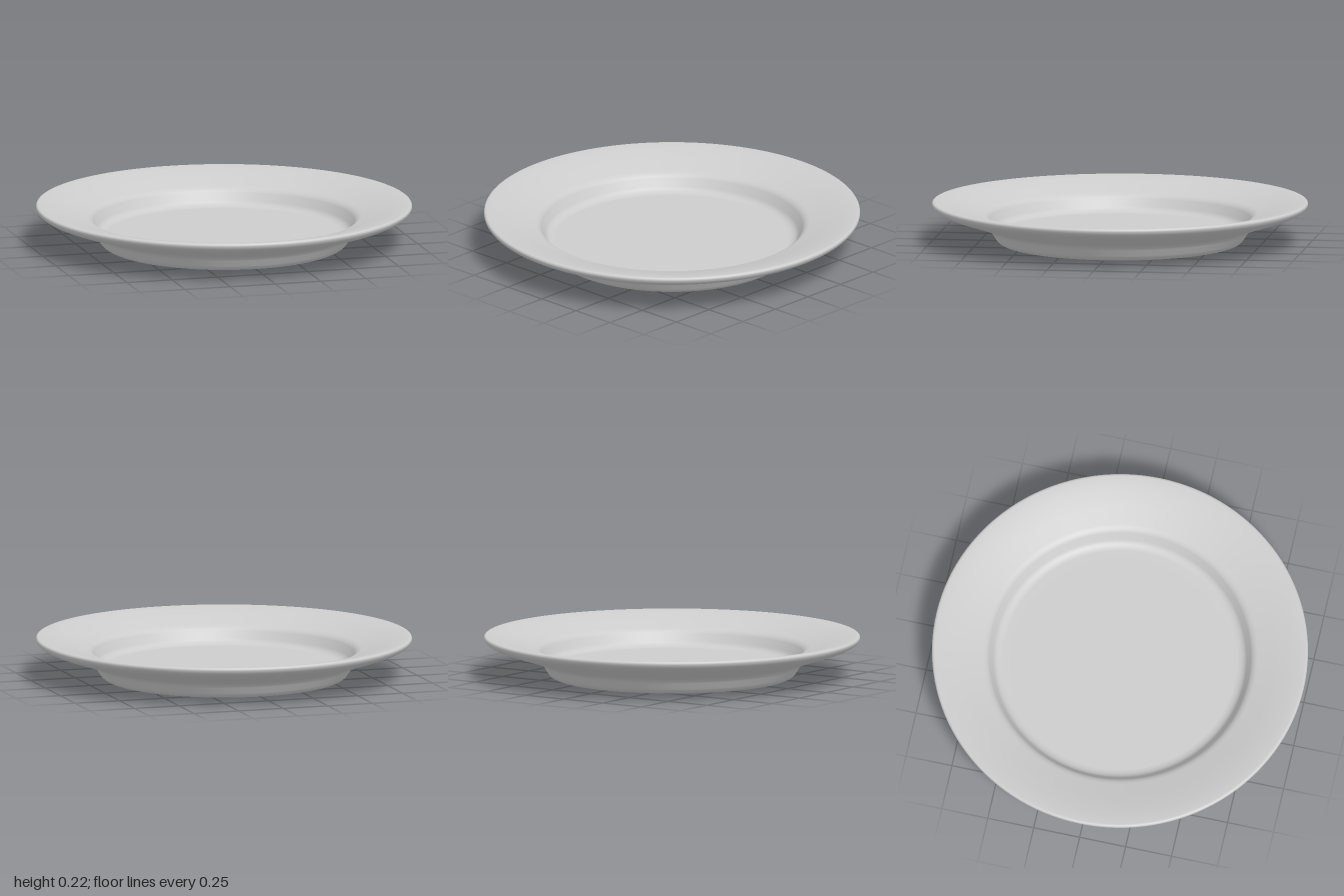
import * as THREE from 'three';

export function createModel() {
  const model = new THREE.Group();
  model.name = 'plate';
  const ceramic = new THREE.MeshStandardMaterial({ color: 0xcccccc });
  ceramic.name = 'ceramic grey';

  // Half section of the plate: x is the radius, y the height
  const section = new THREE.Path();
  section.moveTo(0, 0);
  section.lineTo(0.61, 0);
  section.quadraticCurveTo(0.645, 0.002, 0.662, 0.03); // foot edge
  section.lineTo(0.682, 0.062);
  section.quadraticCurveTo(0.695, 0.084, 0.72, 0.093); // step under the rim
  section.lineTo(0.87, 0.141);
  section.bezierCurveTo(0.94, 0.163, 1, 0.183, 1, 0.21); // underside of the rim
  section.quadraticCurveTo(1, 0.225, 0.985, 0.225); // lip
  section.bezierCurveTo(0.94, 0.222, 0.88, 0.206, 0.83, 0.192); // upper rim
  section.lineTo(0.735, 0.163);
  section.quadraticCurveTo(0.708, 0.155, 0.696, 0.135); // shoulder of the well
  section.lineTo(0.674, 0.096);
  section.quadraticCurveTo(0.659, 0.068, 0.62, 0.066); // floor edge
  section.lineTo(0.58, 0.066);
  section.lineTo(0, 0.066);

  const dish = new THREE.Mesh(new THREE.LatheGeometry(section.getPoints(8), 128), ceramic);
  dish.name = 'dish';
  model.add(dish);
  return model;
}
